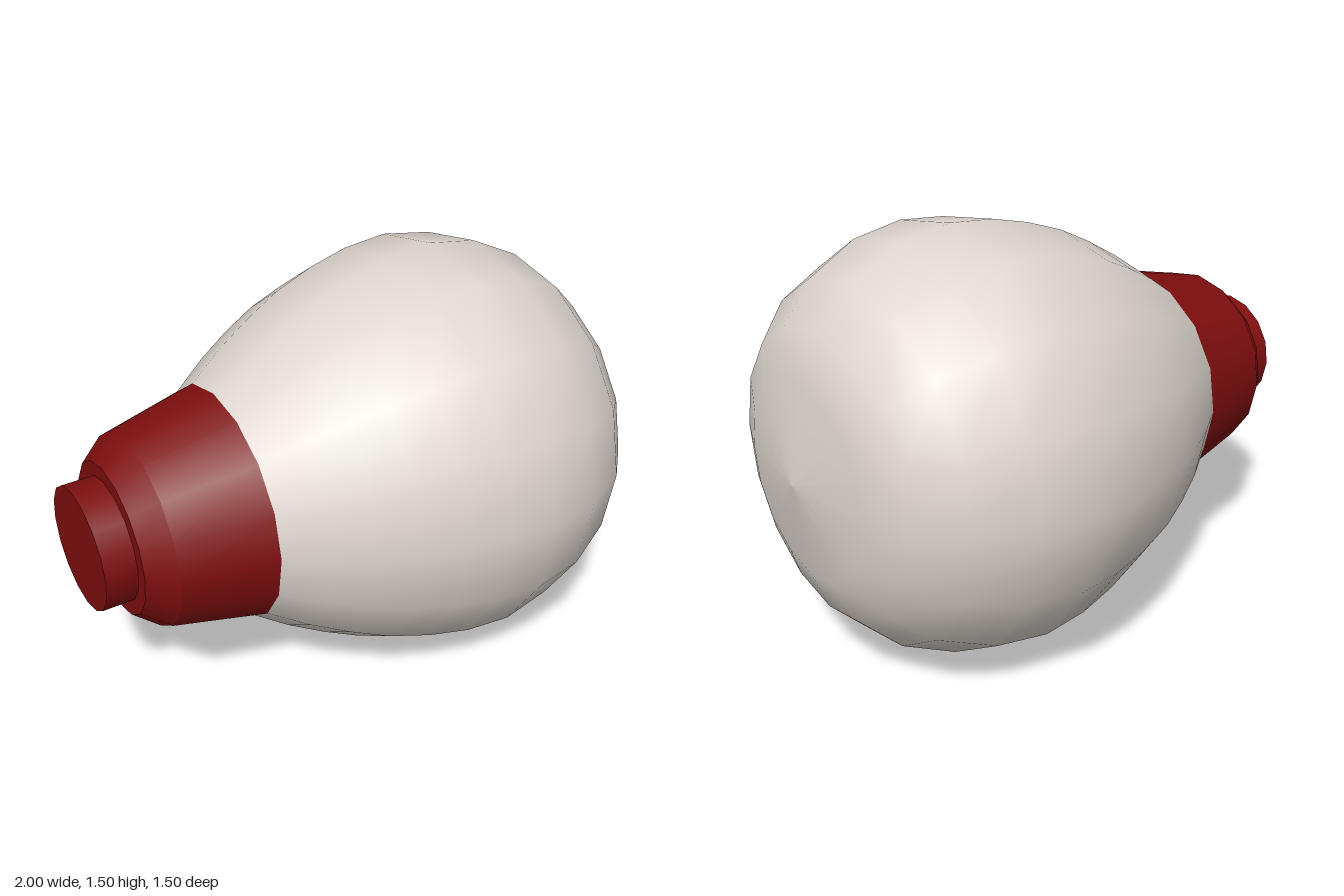
import * as THREE from 'three';

const SIDES = 16;
const TWIST = -0.033; // slight roll of the whole body about its long axis

const glass = new THREE.MeshStandardMaterial({ color: 0xddd5ce });
glass.name = 'warm white';
const base = new THREE.MeshStandardMaterial({ color: 0x7f0e0f });
base.name = 'dark red';

// Turn a profile of [x, radius] points around the x axis
function turned(name, profile, material) {
  const points = profile.map(([x, r]) => new THREE.Vector2(r, x));
  const geometry = new THREE.LatheGeometry(points, SIDES, TWIST);
  geometry.rotateZ(-Math.PI / 2);
  const mesh = new THREE.Mesh(geometry, material);
  mesh.name = name;
  return mesh;
}

export function createModel() {
  const model = new THREE.Group();
  model.name = 'lightBulb';

  // Rounded bulb, smooth from neck to tip
  model.add(turned('bulb', [
    [-0.48, 0.418], [-0.35, 0.508], [-0.22, 0.583], [-0.09, 0.647],
    [0.06, 0.699], [0.21, 0.735], [0.38, 0.75], [0.57, 0.718],
    [0.76, 0.624], [0.89, 0.492], [0.953, 0.338], [1, 0],
  ], glass));

  // Screw base: separate bands keep the edges between them sharp
  const socket = new THREE.Group();
  socket.name = 'socket';
  const bands = [
    ['endCap', [-1, 0], [-1, 0.218]],
    ['contact', [-1, 0.218], [-0.89, 0.218]],
    ['step', [-0.89, 0.218], [-0.89, 0.27]],
    ['bevel', [-0.89, 0.27], [-0.8, 0.344]],
    ['collar', [-0.8, 0.344], [-0.48, 0.418]],
  ];
  for (const [name, from, to] of bands) socket.add(turned(name, [from, to], base));
  model.add(socket);

  model.position.y = 0.75;
  return model;
}
